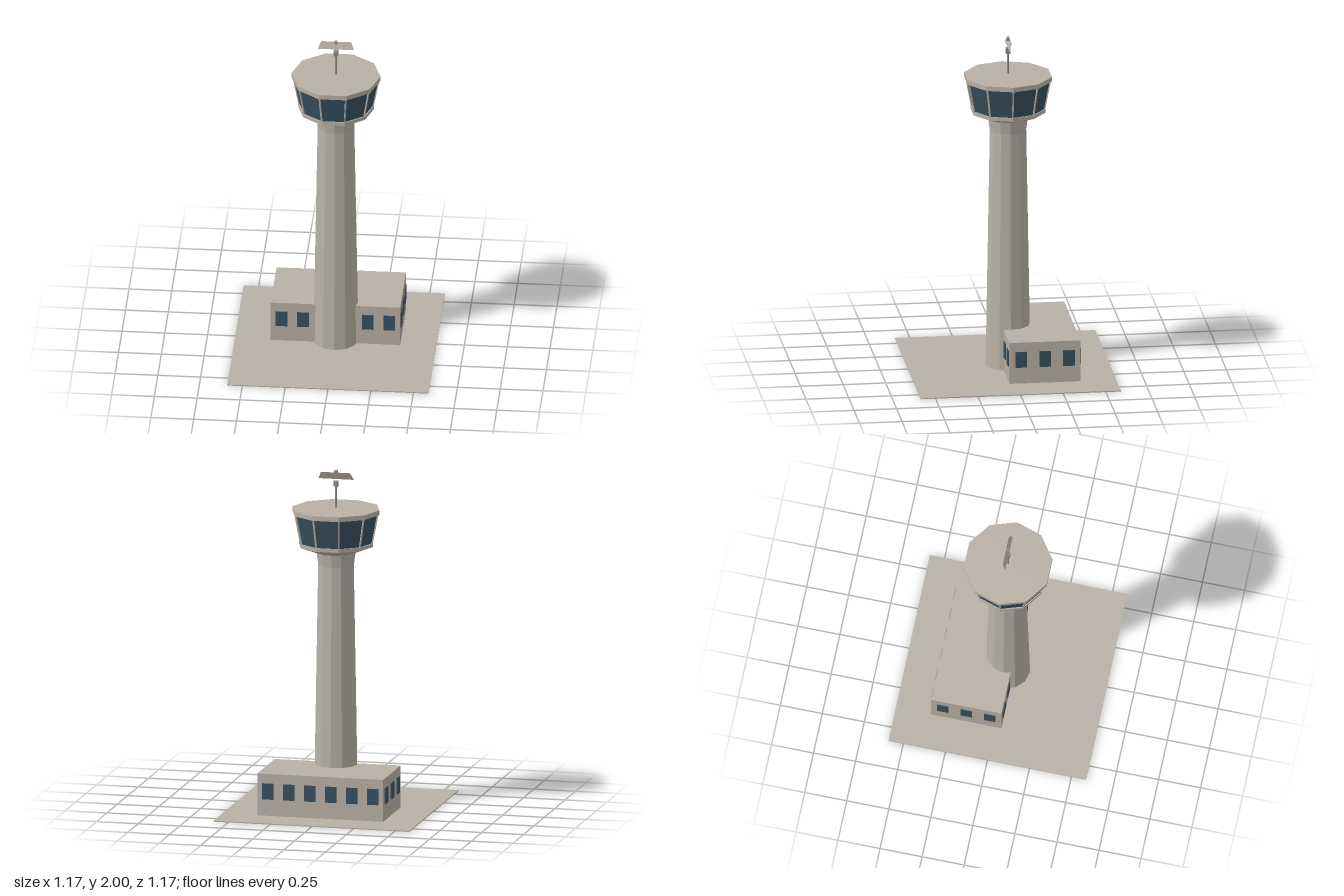
import * as THREE from 'three';

const mat = (name, color) => new THREE.MeshStandardMaterial({ name, color, flatShading: true, side: THREE.DoubleSide });

export function createModel() {
  const concrete = mat('concrete', 0xb8b3a7);
  const plaster = mat('plaster', 0xb8b0a6);
  const glass = mat('glass', 0x38505f);
  const metal = mat('metal', 0x8f918e);
  const tower = new THREE.Group();
  tower.name = 'controlTower';

  const add = (name, geometry, material, x = 0, y = 0, z = 0, parent = tower) => {
    const mesh = new THREE.Mesh(geometry, material);
    mesh.name = name;
    mesh.position.set(x, y, z);
    parent.add(mesh);
    return mesh;
  };
  const box = (name, w, h, d, material, x, y, z, parent) =>
    add(name, new THREE.BoxGeometry(w, h, d), material, x, y, z, parent);
  // Faceted turned part, profile given as [radius, height] from bottom to top
  const turned = (name, profile, sides, material, start = 0) =>
    add(name, new THREE.LatheGeometry(profile.map(p => new THREE.Vector2(...p)), sides, start), material);

  // Ground slab
  box('groundSlab', 1.175, 0.006, 1.175, plaster, 0, 0.003, 0);

  // Base building with windows on all four sides
  const building = new THREE.Group();
  building.name = 'baseBuilding';
  tower.add(building);
  box('buildingBlock', 0.756, 0.25, 0.418, plaster, 0, 0.13, -0.169, building);
  for (const x of [-0.315, -0.189, -0.063, 0.063, 0.189, 0.315]) {
    box('backWindow', 0.068, 0.095, 0.009, glass, x, 0.151, -0.379, building);
    if (Math.abs(x) > 0.1) box('frontWindow', 0.068, 0.095, 0.009, glass, x, 0.151, 0.041, building);
  }
  for (const side of [-1, 1])
    for (const z of [-0.309, -0.169, -0.029])
      box('sideWindow', 0.009, 0.095, 0.068, glass, side * 0.379, 0.151, z, building);

  // Tapering shaft with a slight flare under the cab
  turned('shaft', [[0.132, 0], [0.107, 1.44], [0.117, 1.515]], 12, concrete);

  // Ten-sided cab: corbel with rim, outward-leaning glazing, roof
  const corner = Math.PI / 2;
  turned('cabCorbel', [[0, 1.515], [0.117, 1.515], [0.222, 1.555], [0.222, 1.577], [0, 1.577]], 10, plaster, corner);
  turned('cabGlazing', [[0.215, 1.577], [0.248, 1.747]], 10, glass, corner);
  turned('cabRoof', [[0, 1.747], [0.26, 1.747], [0.26, 1.775], [0, 1.782]], 10, plaster, corner);

  // Mullions along the glazing corners
  const lean = Math.atan2(0.033, 0.17);
  for (let i = 0; i < 10; i++) {
    const pivot = new THREE.Group();
    pivot.name = 'mullionPivot';
    pivot.rotation.y = i * Math.PI / 5;
    tower.add(pivot);
    box('mullion', 0.009, 0.173, 0.009, plaster, 0.2325, 1.662, 0, pivot).rotation.z = -lean;
  }

  // Mast, rotating head and tilted radar reflector
  add('mast', new THREE.CylinderGeometry(0.007, 0.007, 0.13, 8), metal, 0, 1.845, 0);
  box('mastHead', 0.026, 0.033, 0.026, metal, 0, 1.922, 0);
  const reflector = new THREE.BufferGeometry();
  reflector.setAttribute('position', new THREE.Float32BufferAttribute([
    -0.106, 1.948, 0.006, 0.106, 1.948, 0.006, 0.088, 1.99, -0.012, -0.088, 1.99, -0.012], 3));
  reflector.setIndex([0, 1, 2, 0, 2, 3]);
  reflector.computeVertexNormals();
  add('radarReflector', reflector, plaster);
  box('beacon', 0.018, 0.018, 0.018, metal, 0, 1.991, 0);

  return tower;
}
